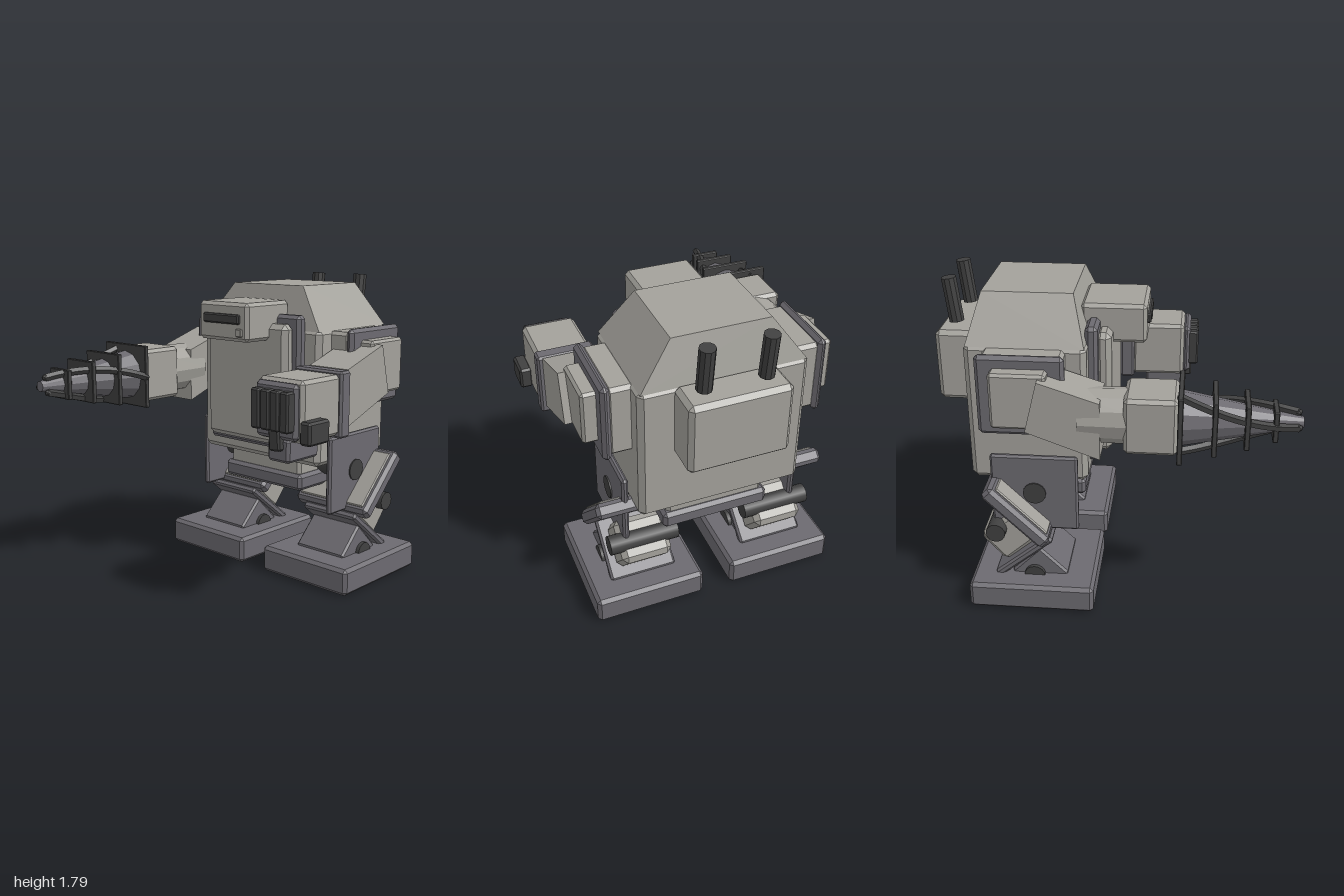
import * as THREE from 'three';
import { ConvexGeometry } from 'three/addons/geometries/ConvexGeometry.js';

const material = (name, color) => {
  const m = new THREE.MeshStandardMaterial({ color });
  m.name = name;
  return m;
};
const flat = (geo) => {
  const g = geo.index ? geo.toNonIndexed() : geo;
  g.computeVertexNormals();
  return g;
};

// Box with evenly chamfered edges, centred on its origin
function chamferBox(w, h, d, c) {
  const pts = [];
  for (const x of [-1, 1]) for (const y of [-1, 1]) for (const z of [-1, 1]) {
    for (let k = 0; k < 3; k++) {
      pts.push(new THREE.Vector3(
        x * (w / 2 - (k === 0 ? 0 : c)),
        y * (h / 2 - (k === 1 ? 0 : c)),
        z * (d / 2 - (k === 2 ? 0 : c))));
    }
  }
  return new ConvexGeometry(pts);
}

export function createModel() {
  const light = material('light armour', 0xa3a19b);
  const frame = material('frame grey', 0x6c6a70);
  const dark = material('dark metal', 0x404040);

  const model = new THREE.Group();
  model.name = 'walkingMachine';
  model.position.x = -0.018;
  const root = new THREE.Group();
  root.add(model);

  const add = (name, mat, geo, parent = model) => {
    const mesh = new THREE.Mesh(geo, mat);
    mesh.name = name;
    parent.add(mesh);
    return mesh;
  };
  // Chamfered box from its limits on each axis
  const block = (name, mat, [x0, x1], [y0, y1], [z0, z1], c = 0.02, parent = model) => {
    const m = add(name, mat, chamferBox(x1 - x0, y1 - y0, z1 - z0, c), parent);
    m.position.set((x0 + x1) / 2, (y0 + y1) / 2, (z0 + z1) / 2);
    return m;
  };
  // Chamfered box from centre and size, pitched about x
  const pitched = (name, mat, pos, size, angle, c = 0.015, parent = model) => {
    const m = add(name, mat, chamferBox(...size, c), parent);
    m.position.set(...pos);
    m.rotation.x = angle;
    return m;
  };
  // Pin lying along x
  const pin = (name, x0, x1, y, z, r, parent) => {
    const g = new THREE.CylinderGeometry(r, r, x1 - x0, 16).rotateZ(Math.PI / 2);
    const m = add(name, dark, g, parent);
    m.position.set((x0 + x1) / 2, y, z);
    return m;
  };

  // Torso and sloped roof
  block('torso', light, [-0.467, 0.467], [0.71, 1.515], [-0.8, -0.14], 0.03);
  const roof = [];
  for (const s of [-1, 1]) {
    for (const [x, y, z0, z1] of [[0.455, 1.5, -0.79, -0.15], [0.272, 1.75, -0.725, -0.225]]) {
      roof.push(new THREE.Vector3(s * x, y, z0), new THREE.Vector3(s * x, y, z1));
    }
  }
  add('roof', light, new ConvexGeometry(roof));

  // Front hatch
  block('hatchFrame', frame, [-0.36, 0.36], [0.79, 1.59], [-0.16, -0.09]);
  block('hatchPanel', light, [-0.316, 0.316], [0.83, 1.54], [-0.11, -0.02], 0.03);

  // Head with viewing slit and sensor
  block('head', light, [-0.194, 0.194], [1.445, 1.665], [-0.2, 0.165]);
  block('viewSlit', dark, [-0.14, 0.14], [1.545, 1.6], [0.14, 0.185], 0.008);
  block('sensor', light, [0.113, 0.158], [1.475, 1.52], [0.15, 0.18], 0.005);

  // Backpack and exhaust pipes
  block('backpack', light, [-0.28, 0.28], [1.105, 1.515], [-1, -0.78], 0.025);
  for (const s of [-1, 1]) {
    const pipe = add('exhaustPipe', dark, flat(new THREE.CylinderGeometry(0.043, 0.043, 0.25, 10)));
    pipe.position.set(s * 0.167, 1.665, -0.91);
    pipe.rotation.x = -0.11;
  }

  // Pelvis
  block('pelvisCore', light, [-0.285, 0.285], [0.6, 0.73], [-0.72, -0.2]);
  block('pelvisBlock', frame, [-0.31, 0.31], [0.53, 0.63], [-0.745, -0.175]);

  // Legs, mirrored by position
  for (const s of [-1, 1]) {
    const leg = new THREE.Group();
    leg.name = s > 0 ? 'leftLeg' : 'rightLeg';
    model.add(leg);
    const cx = s * 0.406;
    const span = (a, b) => (s > 0 ? [a, b] : [-b, -a]);
    block('hipPlate', frame, span(0.488, 0.525), [0.425, 0.89], [-0.68, -0.19], 0.012, leg);
    pin('hipPin', ...span(0.25, 0.533), 0.66, -0.435, 0.065, leg);
    pitched('thighGuard', frame, [cx, 0.57, -0.525], [0.535, 0.085, 0.46], Math.PI / 4, 0.02, leg);
    pitched('thighPanel', light, [cx, 0.602, -0.493], [0.47, 0.016, 0.39], Math.PI / 4, 0.006, leg);
    pitched('calf', light, [cx, 0.365, -0.595], [0.29, 0.23, 0.25], -0.72, 0.03, leg);
    pin('kneePin', cx - 0.2, cx + 0.2, 0.43, -0.655, 0.055, leg);
    pitched('shinPlate', frame, [cx, 0.275, -0.5], [0.39, 0.045, 0.41], -0.68, 0.012, leg);
    pitched('ankleBlock', frame, [cx, 0.165, -0.41], [0.352, 0.235, 0.235], -Math.PI / 4, 0.012, leg)
      .scale.set(1, 1, 1);
    pin('anklePin', cx - 0.198, cx + 0.198, 0.155, -0.44, 0.06, leg);
    block('foot', frame, [cx - 0.32, cx + 0.32], [0, 0.16], [-0.8, -0.09], 0.02, leg);
  }

  // Shoulders and upper arms
  const armProfile = [[1.435, -0.36], [1.155, -0.43], [1.01, -0.04], [1.33, -0.04]];
  for (const s of [-1, 1]) {
    const span = (a, b) => (s > 0 ? [a, b] : [-b, -a]);
    block('shoulderMount', light, span(0.44, 0.59), [1.09, 1.5], [-0.69, -0.25]);
    block('shoulderPlate', frame, span(0.575, 0.625), [1.07, 1.52], [-0.705, -0.235]);
    block('shoulderJoint', light, span(0.6, 0.705), [1.145, 1.455], [-0.62, -0.32], 0.015);
    const pts = [];
    for (const [y, z] of armProfile) {
      for (const x of [0.48, 0.745]) pts.push(new THREE.Vector3(s * x, y, z));
    }
    add('upperArm', light, new ConvexGeometry(pts));
  }

  // Left forearm and gripping hand
  block('cuff', frame, [0.443, 0.773], [0.965, 1.33], [-0.035, 0.05], 0.012);
  block('forearm', light, [0.453, 0.763], [0.985, 1.315], [0.04, 0.36]);
  block('handBase', frame, [0.465, 0.752], [1.0, 1.3], [0.35, 0.4]);
  for (let i = 0; i < 4; i++) {
    const x = 0.479 + i * 0.066;
    block('finger', dark, [x, x + 0.06], [1.05, 1.265], [0.38, 0.45], 0.01);
  }
  block('thumb', dark, [0.755, 0.828], [0.985, 1.11], [0.21, 0.38], 0.012);
  block('underBox', frame, [0.533, 0.683], [0.87, 1.0], [0.12, 0.375], 0.015);
  const nozzle = block('nozzle', dark, [0.57, 0.645], [0.935, 1.06], [0.34, 0.41], 0.01);
  nozzle.rotation.z = 0.08;

  // Right forearm and drill
  const drill = new THREE.Group();
  drill.name = 'drillArm';
  drill.position.set(-0.61, 1.21, 0);
  model.add(drill);
  const along = (name, mat, rBack, rFront, z0, z1, sides) => {
    const g = new THREE.CylinderGeometry(rFront, rBack, z1 - z0, sides).rotateX(Math.PI / 2);
    add(name, mat, flat(g), drill).position.z = (z0 + z1) / 2;
  };
  along('wrist', light, 0.145, 0.15, -0.16, 0.1, 12);
  block('drillForearm', light, [-0.152, 0.152], [-0.155, 0.155], [0.08, 0.36], 0.02, drill);
  along('drillCore', frame, 0.15, 0.03, 0.36, 1, 12);
  for (const [z, size] of [[0.37, 0.37], [0.545, 0.3], [0.71, 0.24], [0.855, 0.17]]) {
    block('drillPlate', dark, [-size / 2, size / 2], [-size / 2, size / 2],
      [z - 0.014, z + 0.014], 0.004, drill);
  }
  // Three twisted cutting ridges
  for (let i = 0; i < 3; i++) {
    const path = [];
    for (let k = 0; k <= 8; k++) {
      const t = k / 8;
      const a = i * 2.094 + t * 1.3;
      const r = 0.175 - 0.125 * t;
      path.push(new THREE.Vector3(r * Math.cos(a), r * Math.sin(a), 0.37 + 0.6 * t));
    }
    const curve = new THREE.CatmullRomCurve3(path);
    const ridge = add('cuttingRidge', dark, flat(new THREE.TubeGeometry(curve, 16, 0.022, 5)), drill);
    for (const t of [0, 1]) {
      const cap = add('ridgeEnd', dark, flat(new THREE.IcosahedronGeometry(0.022, 0)), ridge);
      cap.position.copy(curve.getPoint(t));
    }
  }
  return root;
}
